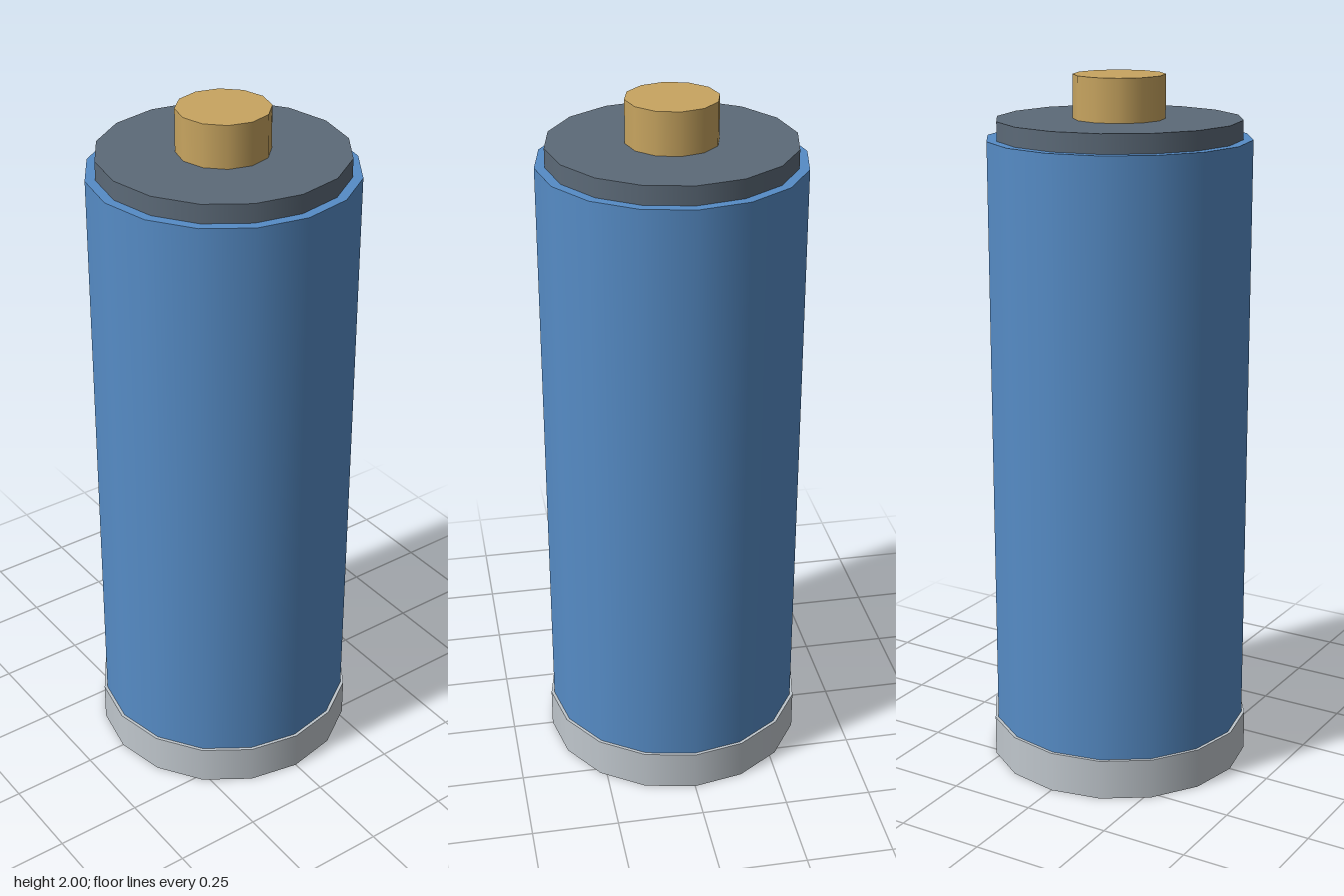
import * as THREE from 'three';

// Closed upright cylinder between two heights
function disc(name, radius, bottom, top, sides, color) {
  const geometry = new THREE.CylinderGeometry(radius, radius, top - bottom, sides);
  const mesh = new THREE.Mesh(geometry, new THREE.MeshStandardMaterial({ color }));
  mesh.position.y = (bottom + top) / 2;
  mesh.name = name;
  return mesh;
}

export function createModel() {
  const model = new THREE.Group();
  model.name = 'battery';
  model.add(
    disc('negativeBase', 0.38, 0, 0.117, 16, 0xc0c7cd),
    disc('body', 0.371, 0.06, 1.827, 16, 0x568cc6),
    disc('topCap', 0.343, 1.77, 1.88, 16, 0x5c6a78),
    disc('positiveTerminal', 0.128, 1.86, 2, 12, 0xc8a560),
  );
  return model;
}
